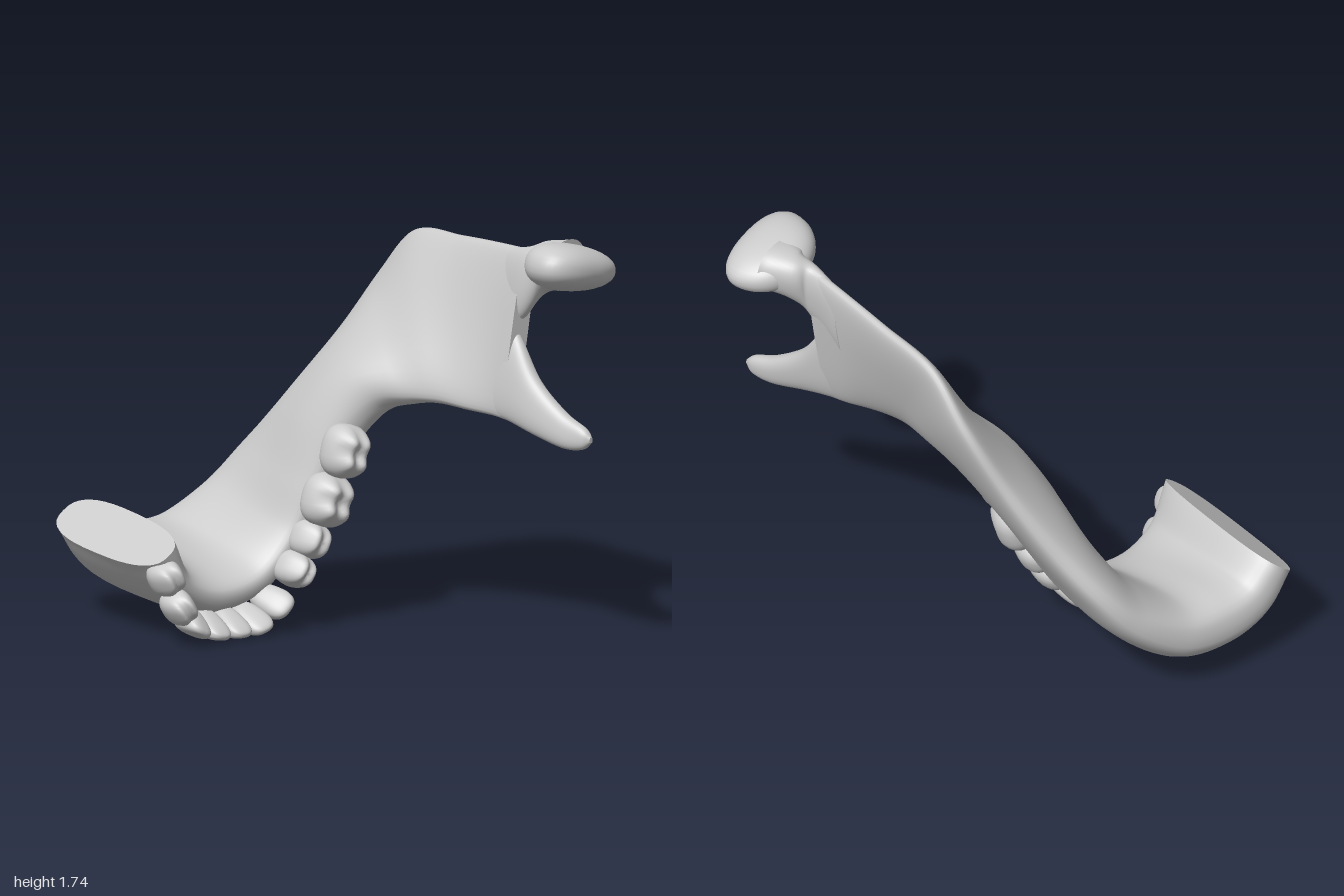
import * as THREE from 'three';
import { mergeVertices } from 'three/addons/utils/BufferGeometryUtils.js';

const bone = new THREE.MeshStandardMaterial({ color: 0xcccccc });
const soft = (v, e) => Math.sign(v) * Math.abs(v) ** e;

// Smooth loft: each section is [edge A, edge B, half thickness at A, half thickness at B,
// extra swelling of the inner face].
function loft(sections, steps, name, e = 0.75, ring = 40) {
  const curve = pts => new THREE.CatmullRomCurve3(pts, false, 'catmullrom', 0.5);
  const edgeA = curve(sections.map(s => new THREE.Vector3(...s[0])));
  const edgeB = curve(sections.map(s => new THREE.Vector3(...s[1])));
  const thick = curve(sections.map(s => new THREE.Vector3(s[2], s[3], s[4] ?? 0)));
  const pos = [], idx = [];
  for (let i = 0; i <= steps; i++) {
    const u = i / steps;
    const a = edgeA.getPoint(u), b = edgeB.getPoint(u), t = thick.getPoint(u);
    const c = a.clone().add(b).multiplyScalar(0.5);
    const h = b.clone().sub(a).multiplyScalar(0.5);
    const u0 = Math.max(u - 0.01, 0), u1 = Math.min(u + 0.01, 1);
    const dir = edgeA.getPoint(u1).sub(edgeA.getPoint(u0))
      .add(edgeB.getPoint(u1)).sub(edgeB.getPoint(u0));
    const n = dir.cross(h).normalize();
    for (let j = 0; j < ring; j++) {
      const w = j / ring * Math.PI * 2;
      const k = soft(Math.cos(w), e), s = soft(Math.sin(w), e);
      const half = THREE.MathUtils.lerp(t.x, t.y, (k + 1) / 2) * (s < 0 ? 1 + t.z * s * s : 1);
      const p = c.clone().addScaledVector(h, k).addScaledVector(n, half * s);
      pos.push(p.x, p.y, p.z);
      if (i < steps) {
        const p0 = i * ring + j, p1 = i * ring + (j + 1) % ring;
        idx.push(p0, p1, p0 + ring, p1, p1 + ring, p0 + ring);
      }
    }
  }
  // Flat end caps with their own vertices, so the rims stay sharp
  for (const end of [0, steps]) {
    const base = pos.length / 3, mid = [0, 0, 0];
    for (let j = 0; j < ring; j++) {
      for (let k = 0; k < 3; k++) {
        const v = pos[(end * ring + j) * 3 + k];
        pos.push(v);
        mid[k] += v / ring;
      }
      const q = base + (j + 1) % ring;
      if (end) idx.push(base + ring, base + j, q);
      else idx.push(base + ring, q, base + j);
    }
    pos.push(...mid);
  }
  const geo = new THREE.BufferGeometry();
  geo.setAttribute('position', new THREE.Float32BufferAttribute(pos, 3));
  geo.setIndex(idx);
  geo.computeVertexNormals();
  const mesh = new THREE.Mesh(geo, bone);
  mesh.name = name;
  return mesh;
}

// Rounded block made from a sphere, reshaped by a rule on unit coordinates
function blob(e, rule, name) {
  let geo = new THREE.SphereGeometry(1, 32, 24).rotateX(Math.PI / 2);
  geo.deleteAttribute('uv');
  geo.deleteAttribute('normal');
  geo = mergeVertices(geo, 1e-4);
  const p = geo.attributes.position, v = new THREE.Vector3();
  for (let i = 0; i < p.count; i++) {
    v.fromBufferAttribute(p, i);
    v.set(soft(v.x, e), soft(v.y, e), soft(v.z, e));
    rule(v);
    p.setXYZ(i, v.x, v.y, v.z);
  }
  geo.computeVertexNormals();
  const mesh = new THREE.Mesh(geo, bone);
  mesh.name = name;
  return mesh;
}

// Crown shapes: cusped grinding teeth and edge-shaped front teeth
const crowns = {
  molar: v => {
    const top = Math.max(v.z, 0);
    v.z -= 0.11 * top * (Math.cos(6.28 * v.x) + Math.cos(6.28 * v.y));
    v.x *= 1 - 0.12 * top;
    v.y *= 1 - 0.2 * top;
  },
  premolar: v => {
    const top = Math.max(v.z, 0);
    v.z -= 0.12 * top * Math.cos(5.5 * v.y);
    v.x *= 1 - 0.15 * top;
    v.y *= 1 - 0.2 * top;
  },
  incisor: v => {
    v.y *= 0.8 - 0.35 * v.z;
    v.x *= 0.95 + 0.08 * v.z;
  },
};

export function createModel() {
  const group = new THREE.Group();

  // Jaw body from the flat cut, round the chin and up into the broad rear plate
  group.add(loft([
    [[-0.69, 0.435, -0.995], [-0.74, 0.4, -0.19], 0.125, 0.115],
    [[-0.57, 0.31, -1.0], [-0.62, 0.235, -0.22], 0.15, 0.09],
    [[-0.4, 0.268, -1.0], [-0.43, 0.155, -0.24], 0.16, 0.1],
    [[-0.2, 0.29, -0.99], [-0.21, 0.2, -0.24], 0.145, 0.09],
    [[0.02, 0.425, -0.95], [-0.06, 0.36, -0.22], 0.11, 0.085, 0.2],
    [[0.17, 0.6, -0.88], [0.03, 0.56, -0.18], 0.085, 0.1, 0.35],
    [[0.31, 0.83, -0.73], [0.12, 0.78, -0.12], 0.075, 0.11, 0.6],
    [[0.44, 1.1, -0.58], [0.21, 0.93, -0.02], 0.06, 0.11, 0.75],
    [[0.55, 1.4, -0.43], [0.28, 0.97, 0.12], 0.05, 0.09, 0.75],
    [[0.565, 1.605, -0.22], [0.33, 0.985, 0.25], 0.045, 0.07, 0.45],
    [[0.565, 1.64, 0.1], [0.38, 0.975, 0.38], 0.045, 0.055, 0.15],
    [[0.565, 1.66, 0.37], [0.43, 0.965, 0.49], 0.045, 0.05],
    [[0.565, 1.67, 0.57], [0.45, 0.955, 0.57], 0.045, 0.045],
  ], 120, 'jawBody'));

  // Pointed front prong of the rear plate
  group.add(loft([
    [[0.52, 1.44, 0.42], [0.42, 0.98, 0.42], 0.03, 0.035],
    [[0.505, 1.31, 0.575], [0.45, 0.955, 0.575], 0.043, 0.046],
    [[0.51, 1.15, 0.7], [0.475, 0.92, 0.72], 0.045, 0.045],
    [[0.535, 1.035, 0.85], [0.515, 0.885, 0.87], 0.04, 0.04],
    [[0.555, 0.985, 0.96], [0.545, 0.892, 0.96], 0.03, 0.03],
    [[0.56, 0.95, 1.0], [0.56, 0.925, 1.0], 0.01, 0.01],
  ], 36, 'frontProng', 0.85));

  // Neck widening into the joint head
  group.add(loft([
    [[0.56, 1.65, 0.4], [0.52, 1.3, 0.4], 0.035, 0.035],
    [[0.565, 1.68, 0.56], [0.525, 1.38, 0.57], 0.055, 0.045],
    [[0.6, 1.715, 0.64], [0.585, 1.49, 0.64], 0.1, 0.065],
    [[0.61, 1.73, 0.74], [0.63, 1.525, 0.74], 0.14, 0.13],
  ], 24, 'jointNeck', 0.9));

  // Joint head, a tilted bean that narrows toward the neck
  const head = blob(0.88, v => {
    v.x *= 0.92 + 0.16 * v.z;
    v.y *= 1 - 0.12 * v.x;
  }, 'jointHead');
  head.scale.set(0.23, 0.098, 0.16);
  head.position.set(0.595, 1.632, 0.785);
  head.rotation.set(0, 0.24, -0.2);
  group.add(head);

  // Teeth along the arch: kind, centre x y z, width, depth, height, outward tilt
  const teeth = [
    ['premolar', -0.73, 0.3, -0.22, 0.15, 0.14, 0.17, 0.05],
    ['premolar', -0.665, 0.165, -0.22, 0.15, 0.13, 0.18, 0.15],
    ['incisor', -0.585, 0.08, -0.23, 0.13, 0.12, 0.2, 0.25],
    ['incisor', -0.49, 0.053, -0.235, 0.125, 0.12, 0.21, 0.25],
    ['incisor', -0.385, 0.048, -0.235, 0.125, 0.12, 0.21, 0.25],
    ['incisor', -0.28, 0.053, -0.235, 0.13, 0.12, 0.21, 0.25],
    ['incisor', -0.18, 0.118, -0.225, 0.14, 0.13, 0.21, 0.2],
    ['premolar', -0.085, 0.25, -0.2, 0.15, 0.14, 0.19, 0.1],
    ['premolar', -0.015, 0.37, -0.185, 0.16, 0.15, 0.18, 0.05],
    ['molar', 0.05, 0.535, -0.15, 0.23, 0.21, 0.2, 0],
    ['molar', 0.105, 0.745, -0.1, 0.23, 0.19, 0.2, 0],
  ];
  teeth.forEach(([kind, x, y, z, w, d, h, tilt], i) => {
    const a = teeth[Math.max(i - 1, 0)], b = teeth[Math.min(i + 1, teeth.length - 1)];
    const tooth = blob(0.78, crowns[kind], kind);
    tooth.scale.set(w / 2, d / 2, h / 2);
    tooth.position.set(x, y, z);
    tooth.rotation.set(tilt, 0, Math.atan2(b[2] - a[2], b[1] - a[1]), 'ZYX');
    group.add(tooth);
  });

  return group;
}
